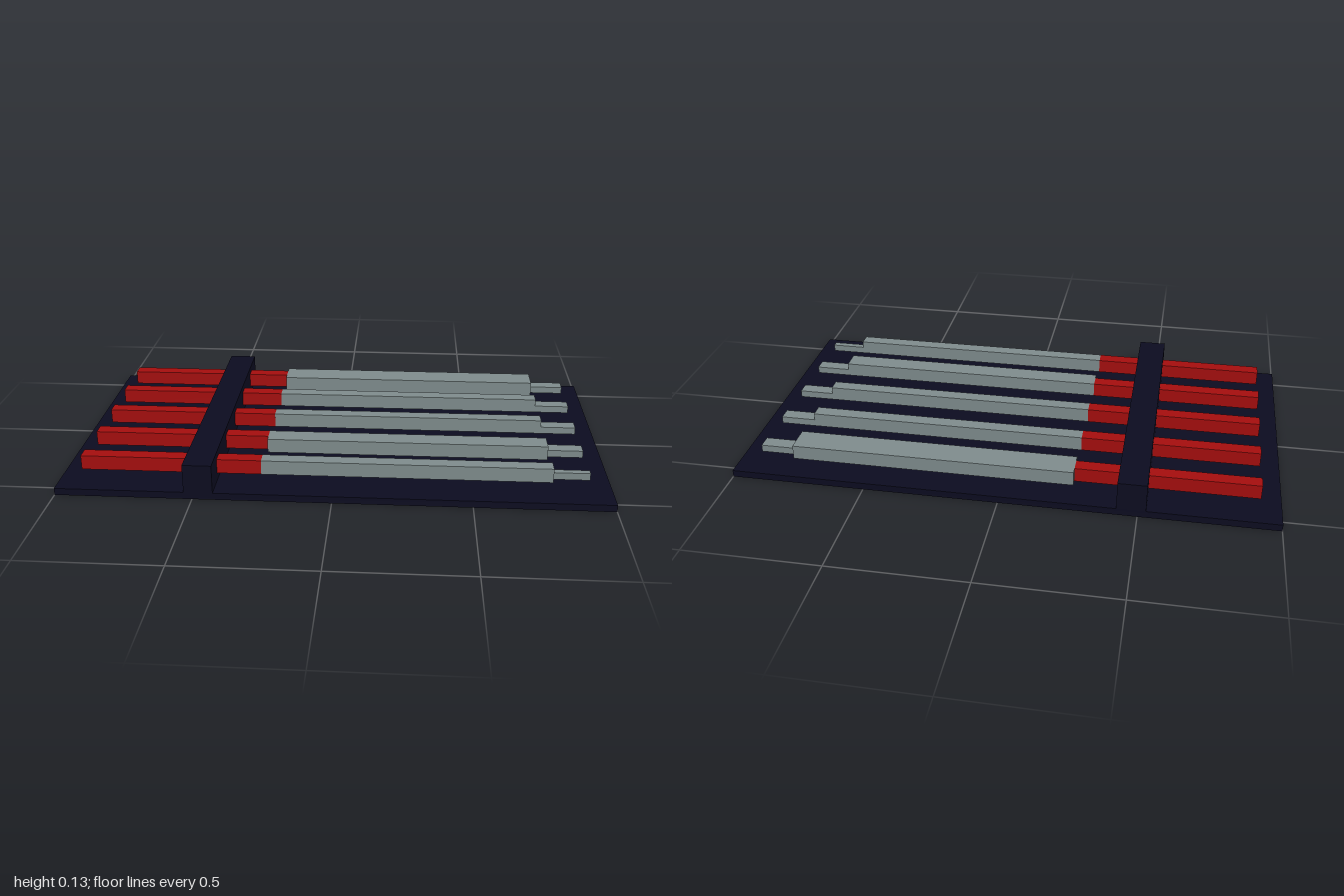
import * as THREE from 'three';

export function createModel() {
  const group = new THREE.Group();
  const paint = (name, color) => {
    const m = new THREE.MeshStandardMaterial({ color });
    m.name = name;
    return m;
  };
  const navy = paint('dark navy', 0x0c0c20);
  const red = paint('handle red', 0xa60e0e);
  const grey = paint('steel grey', 0x7f8c8d);

  // Box given by its limits on each axis
  const box = (parent, name, mat, [x0, x1], [y0, y1], [z0, z1]) => {
    const mesh = new THREE.Mesh(new THREE.BoxGeometry(x1 - x0, y1 - y0, z1 - z0), mat);
    mesh.position.set((x0 + x1) / 2, (y0 + y1) / 2, (z0 + z1) / 2);
    mesh.name = name;
    parent.add(mesh);
  };

  // Tray and the bar that holds the tools
  box(group, 'basePlate', navy, [-1, 1], [0, 0.026], [-0.553, 0.553]);
  box(group, 'holdingBar', navy, [-0.53, -0.425], [0.026, 0.133], [-0.553, 0.553]);

  // Each tool: handle centre, then z limits of its blade and tip
  const tools = [
    { z: -0.422, blade: [-0.476, -0.369], tip: [-0.449, -0.395] },
    { z: -0.211, blade: [-0.238, -0.185], tip: [-0.238, -0.185] },
    { z: 0, blade: [-0.026, 0.026], tip: [-0.026, 0.026] },
    { z: 0.211, blade: [0.185, 0.264], tip: [0.185, 0.237] },
    { z: 0.422, blade: [0.396, 0.449], tip: [0.396, 0.422] },
  ];
  tools.forEach(({ z, blade, tip }, i) => {
    const tool = new THREE.Group();
    tool.name = `tool${i + 1}`;
    box(tool, 'handle', red, [-0.925, -0.263], [0.054, 0.108], [z - 0.0265, z + 0.0265]);
    box(tool, 'blade', grey, [-0.263, 0.787], [0.054, 0.108], blade);
    box(tool, 'tip', grey, [0.787, 0.921], [0.054, 0.081], tip);
    group.add(tool);
  });

  return group;
}
